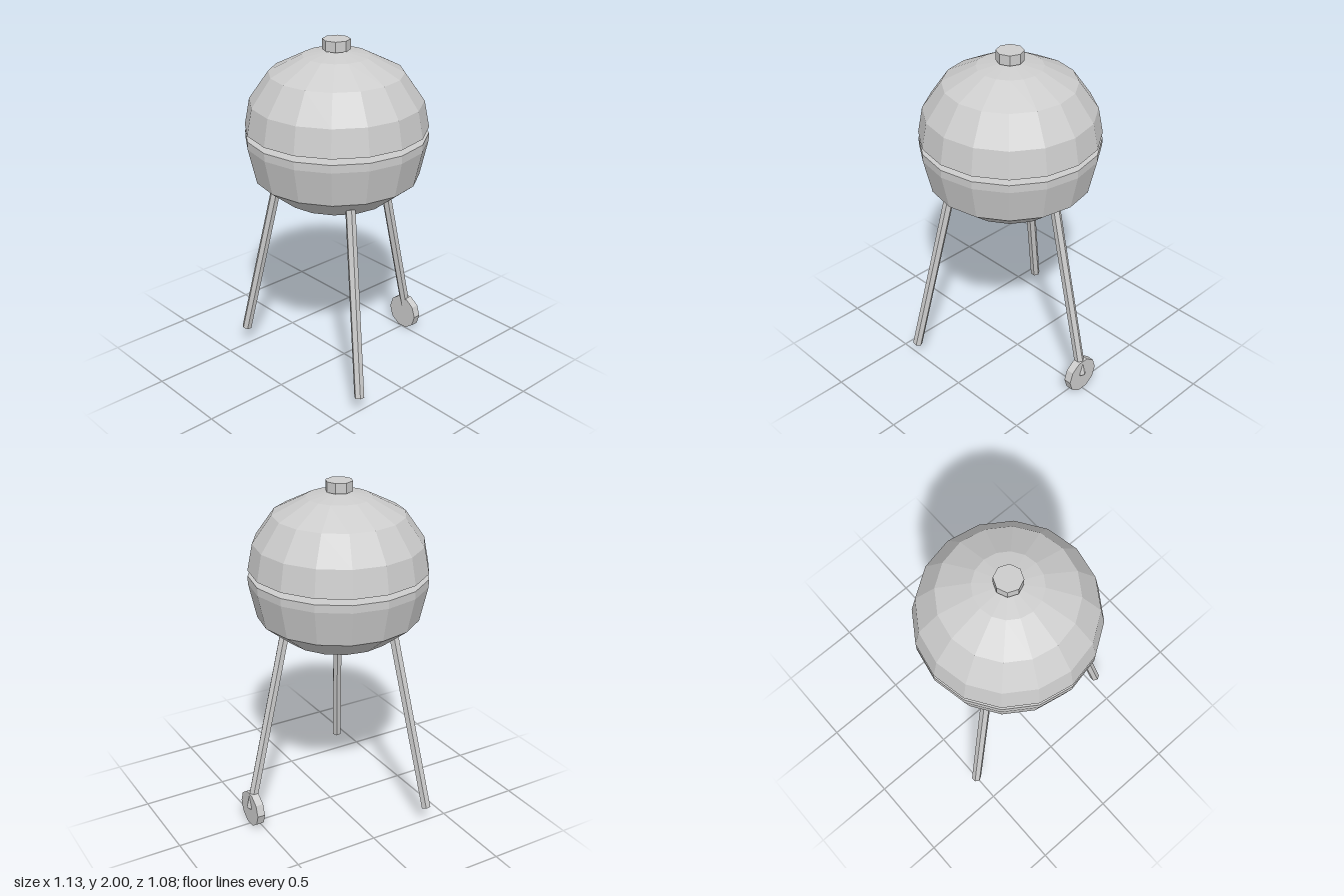
import * as THREE from 'three';

const grey = new THREE.MeshStandardMaterial({ color: 0xcccccc, flatShading: true });
grey.name = 'grey metal';

function add(parent, name, geometry, x = 0, y = 0, z = 0) {
  const mesh = new THREE.Mesh(geometry, grey);
  mesh.name = name;
  mesh.position.set(x, y, z);
  parent.add(mesh);
  return mesh;
}

// Faceted closed shell from [radius, height] pairs, listed bottom to top
const shell = (profile) =>
  new THREE.LatheGeometry(profile.map(([r, y]) => new THREE.Vector2(r, y)), 16);

export function createModel() {
  const group = new THREE.Group();
  group.name = 'kettleGrill';

  // Body sits off centre because one leg carries the wheel
  const body = new THREE.Group();
  body.name = 'body';
  body.position.x = -0.056;
  group.add(body);

  add(body, 'bowl', shell([[0, 1.075], [0.31, 1.102], [0.465, 1.226], [0.511, 1.43], [0.511, 1.475], [0, 1.475]]));
  add(body, 'lid', shell([[0, 1.508], [0.511, 1.508], [0.482, 1.66], [0.372, 1.817], [0.185, 1.912], [0, 1.942]]));
  add(body, 'lidKnob', new THREE.CylinderGeometry(0.077, 0.077, 0.058, 8), 0, 1.971, 0);

  // Three splayed hexagonal legs
  const top = new THREE.Vector2(0.354, 1.155);
  const foot = new THREE.Vector2(0.595, 0.108);
  const legGeometry = new THREE.CylinderGeometry(0.029, 0.029, top.distanceTo(foot), 6, 1, false, Math.PI / 2);
  for (let i = 0; i < 3; i++) {
    const pivot = new THREE.Group();
    pivot.name = 'legPivot';
    pivot.rotation.y = (i * Math.PI * 2) / 3;
    body.add(pivot);
    const leg = add(pivot, 'leg', legGeometry, (top.x + foot.x) / 2, (top.y + foot.y) / 2, 0);
    leg.rotation.z = Math.atan2(foot.x - top.x, top.y - foot.y);
  }

  // Wheel on the left leg
  const wheel = add(group, 'wheel', new THREE.CylinderGeometry(0.108, 0.108, 0.046, 10), 0.527, 0.103, 0);
  wheel.rotation.z = Math.PI / 2;

  return group;
}
